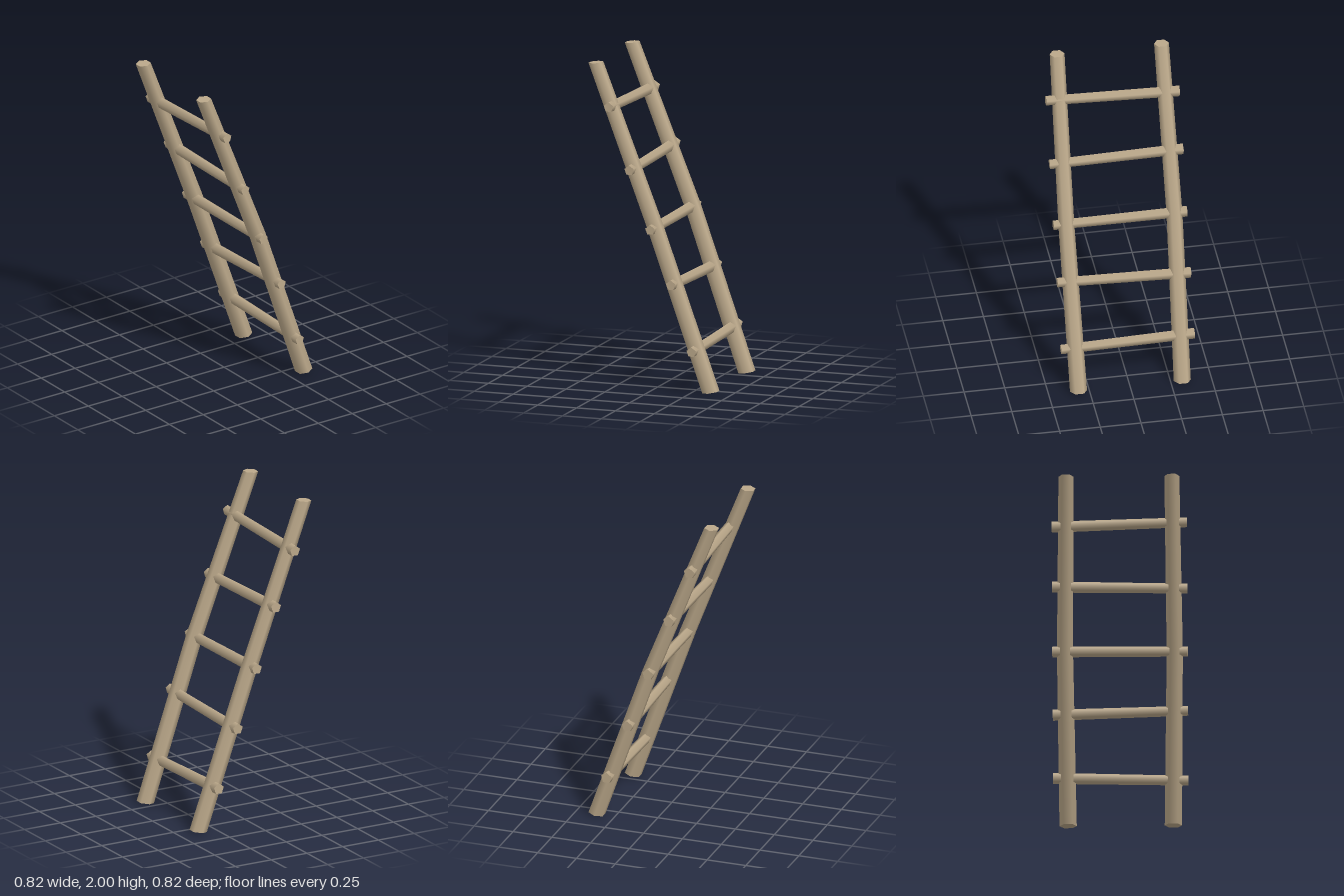
import * as THREE from 'three';

// Six-sided pole, slightly bowed: three rings from foot to tip, caps kept nearly level
function railGeometry(zs) {
  const xs = [0.366, 0.016, -0.373], ys = [0.008, 1.0, 1.996], tilt = [0.16, 0.25, 0.08];
  const slopes = [-0.353, -0.372, -0.39];
  const geo = new THREE.CylinderGeometry(0.0455, 0.0525, 2, 6, 2);
  const p = geo.attributes.position, n = geo.attributes.normal;
  for (let i = 0; i < p.count; i++) {
    const k = Math.round(p.getY(i) + 1);
    const x = p.getX(i);
    p.setXYZ(i, x + xs[k], ys[k] + x * tilt[k], p.getZ(i) + zs[k]);
    const v = new THREE.Vector3(n.getX(i), n.getY(i), n.getZ(i));
    v.y -= v.x * slopes[k];
    v.normalize();
    n.setXYZ(i, v.x, v.y, v.z);
  }
  return geo;
}

// Five-sided rung along z, thicker at the back
function rungGeometry() {
  return new THREE.CylinderGeometry(0.0315, 0.0355, 0.82, 5)
    .rotateY(THREE.MathUtils.degToRad(110))
    .rotateX(Math.PI / 2);
}

export function createModel() {
  const group = new THREE.Group();
  const wood = new THREE.MeshStandardMaterial({ color: 0xbba88a });
  wood.name = 'weathered wood';

  const add = (name, geo) => {
    const mesh = new THREE.Mesh(geo, wood);
    mesh.name = name;
    group.add(mesh);
    return mesh;
  };

  // Side rails
  add('frontRail', railGeometry([0.317, 0.331, 0.32]));
  add('backRail', railGeometry([-0.32, -0.333, -0.321]));

  // Rungs: x, height at the front end, height at the back end
  const rungs = [
    [0.273, 0.264, 0.285],
    [0.14, 0.668, 0.645],
    [0.007, 1.001, 1.006],
    [-0.127, 1.36, 1.376],
    [-0.26, 1.74, 1.714],
  ];
  rungs.forEach(([x, front, back], i) => {
    const rung = add(`rung${i + 1}`, rungGeometry());
    rung.position.set(x, (front + back) / 2, 0);
    rung.rotation.x = -Math.atan2(front - back, 0.8);
  });
  return group;
}
